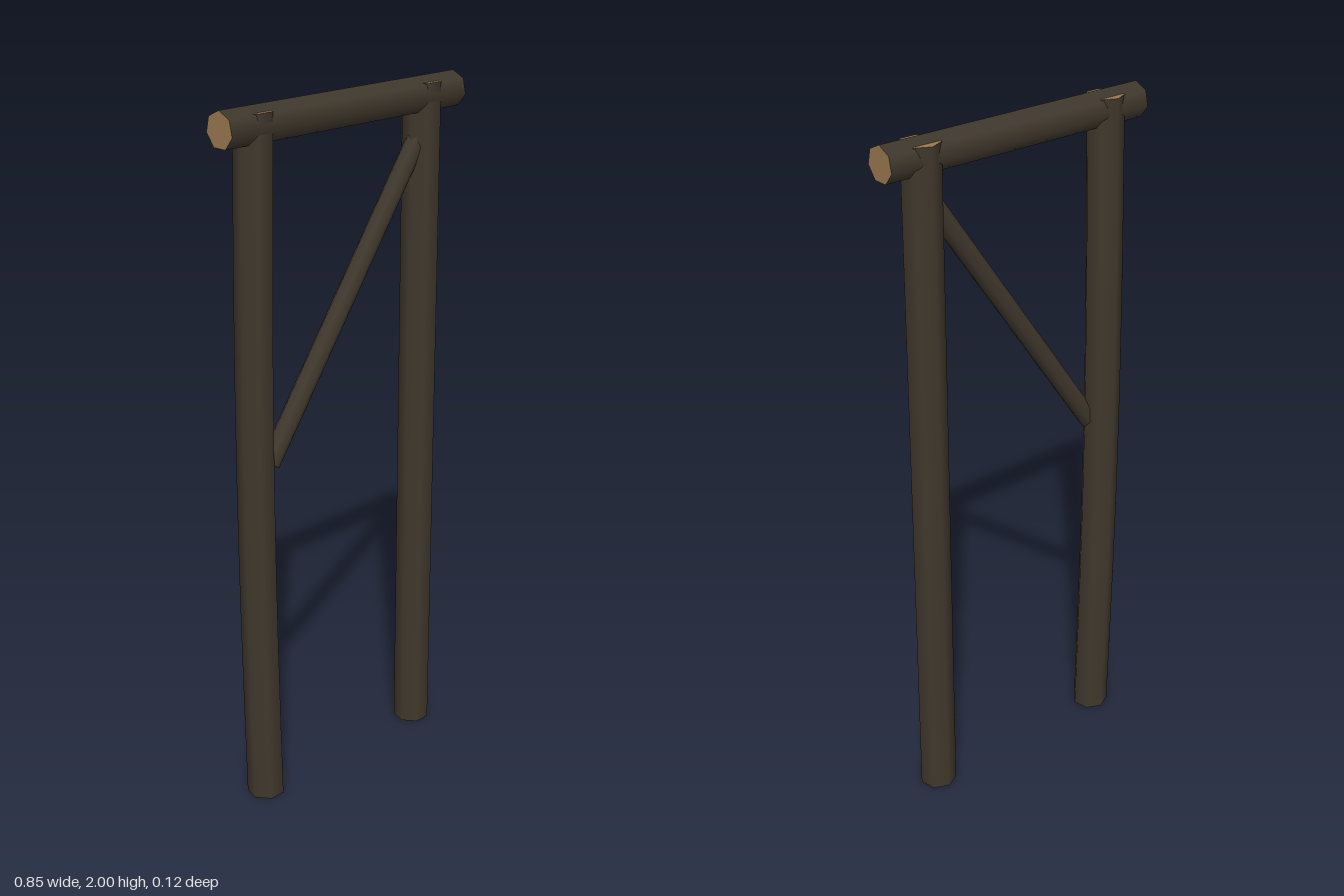
import * as THREE from 'three';

export function createModel() {
  const bark = new THREE.MeshStandardMaterial({ color: 0x40382d });
  bark.name = 'dark bark';
  const wood = new THREE.MeshStandardMaterial({ color: 0x9b7850 });
  wood.name = 'cut wood';
  const group = new THREE.Group();
  group.name = 'timberFrame';

  // Seven-sided log between two points, bark on the side and cut wood on the ends
  function log(name, from, to, rStart, rEnd, ridge, bow = 0) {
    const a = new THREE.Vector3(...from), b = new THREE.Vector3(...to);
    const length = a.distanceTo(b);
    const geo = new THREE.CylinderGeometry(rEnd, rStart, length, 7, 8, false, ridge);
    // Bend the log gently backwards around its middle
    const p = geo.attributes.position;
    for (let i = 0; i < p.count; i++) {
      const t = p.getY(i) / length + 0.5;
      p.setZ(i, p.getZ(i) - bow * Math.sin(Math.PI * t));
    }
    const mesh = new THREE.Mesh(geo, [bark, wood, wood]);
    mesh.name = name;
    mesh.position.copy(a).add(b).multiplyScalar(0.5);
    mesh.rotation.z = -Math.atan2(b.x - a.x, b.y - a.y);
    group.add(mesh);
  }

  // Upright posts, one of them slightly bowed
  log('rightPost', [-0.308, 0, 0.008], [-0.308, 1.985, 0.01], 0.054, 0.053, Math.PI, 0.017);
  log('leftPost', [0.304, 0, 0.008], [0.304, 1.985, 0.008], 0.054, 0.054, Math.PI);

  // Crossbeam resting over the post tops
  log('crossbeam', [-0.423, 1.95, 0.012], [0.423, 1.95, 0.012], 0.05, 0.05, -Math.PI / 2);

  // Thin diagonal brace, its ends sunk into the posts
  log('diagonalBrace', [-0.277, 1.023, 0.012], [0.285, 1.836, 0.012], 0.029, 0.029, 0);

  return group;
}
